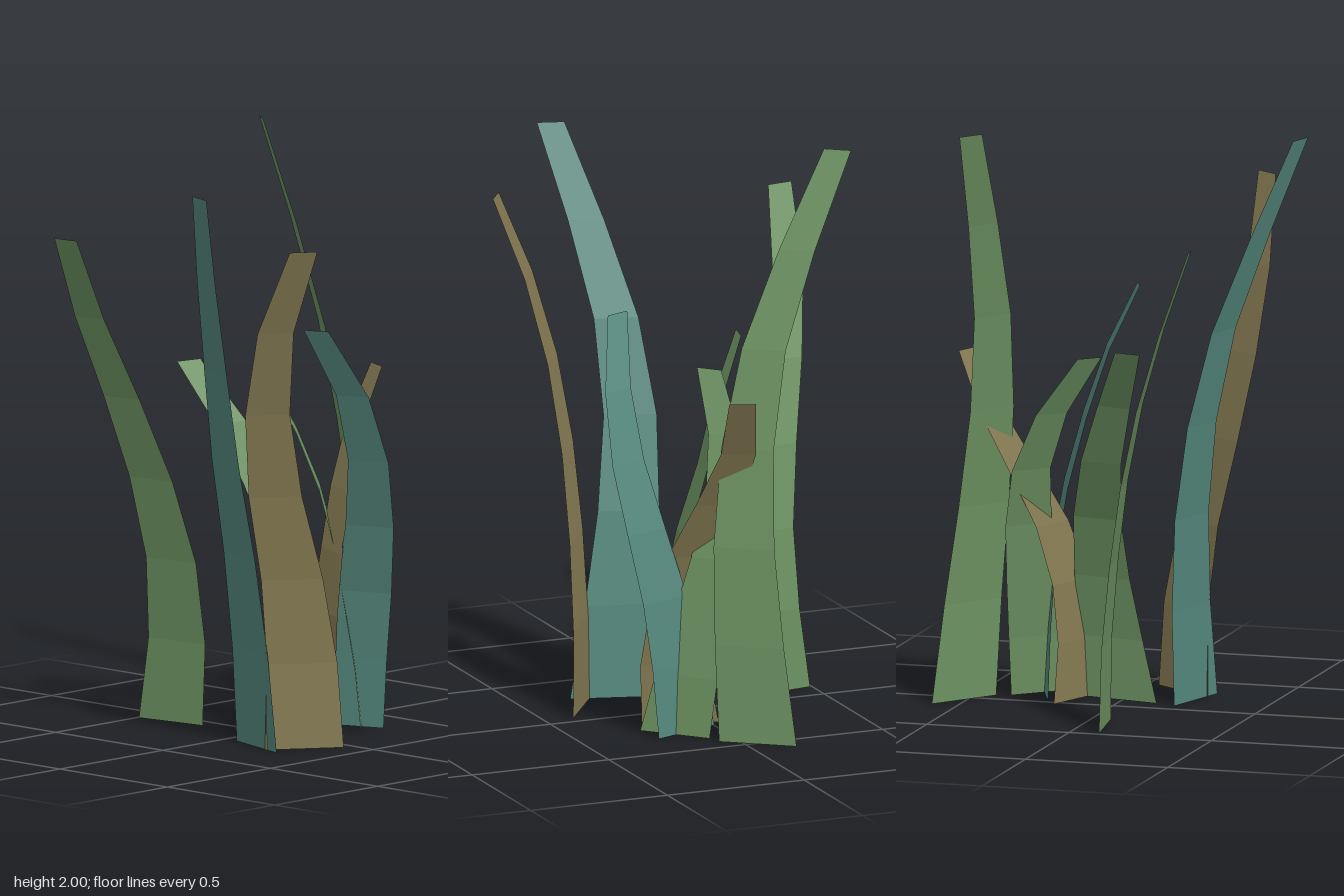
import * as THREE from 'three';

const SEGMENTS = 6;

// One tapering flat blade: spine holds [x, z] at equal height steps, dir is the width direction.
function makeBlade({ height, width, dir, spine }, material) {
  const geo = new THREE.PlaneGeometry(1, 1, 1, SEGMENTS);
  const pos = geo.attributes.position;
  const [dx, dz] = dir;
  const len = Math.hypot(dx, dz);
  for (let i = 0; i < pos.count; i++) {
    const t = pos.getY(i) + 0.5;
    const offset = (pos.getX(i) * width * (1 - 0.65 * t)) / len;
    const [x, z] = spine[Math.round(t * SEGMENTS)];
    pos.setXYZ(i, x + dx * offset, t * height, z + dz * offset);
  }
  const flat = geo.toNonIndexed(); // faceted segments
  flat.computeVertexNormals();
  return new THREE.Mesh(flat, material);
}

const blades = [
  { name: 'tallGreenBlade', color: 'green', height: 2, width: 0.268, dir: [0.6, -0.8],
    spine: [[0.51, -0.04], [0.485, -0.02], [0.448, -0.016], [0.41, -0.045], [0.387, -0.114], [0.382, -0.238], [0.38, -0.387]] },
  { name: 'backGreenBlade', color: 'green', height: 1.67, width: 0.263, dir: [0.145, 0.989],
    spine: [[-0.084, -0.363], [-0.082, -0.337], [-0.108, -0.339], [-0.158, -0.385], [-0.232, -0.45], [-0.328, -0.508], [-0.43, -0.522]] },
  { name: 'middleGreenBlade', color: 'green', height: 1.255, width: 0.272, dir: [0.977, 0.21],
    spine: [[0.004, 0.111], [0.04, 0.116], [0.066, 0.096], [0.07, 0.05], [0.029, -0.04], [-0.042, -0.125], [-0.125, -0.241]] },
  { name: 'shortGreenBlade', color: 'green', height: 1.195, width: 0.255, dir: [0.73, -0.68],
    spine: [[0.288, 0.168], [0.298, 0.13], [0.303, 0.08], [0.305, 0.03], [0.28, -0.02], [0.2, -0.05], [0.065, -0.052]] },
  { name: 'tallTealBlade', color: 'teal', height: 1.925, width: 0.267, dir: [0.275, -0.96],
    spine: [[-0.236, 0.183], [-0.231, 0.147], [-0.244, 0.11], [-0.287, 0.086], [-0.357, 0.107], [-0.467, 0.17], [-0.584, 0.25]] },
  { name: 'shortTealBlade', color: 'teal', height: 1.4, width: 0.26, dir: [0.36, 0.933],
    spine: [[0.273, 0.119], [0.273, 0.152], [0.269, 0.196], [0.241, 0.251], [0.188, 0.296], [0.108, 0.299], [-0.016, 0.248]] },
  { name: 'tallBrownBlade', color: 'brown', height: 1.75, width: 0.27, dir: [0.817, 0.575],
    spine: [[-0.15, 0.322], [-0.159, 0.321], [-0.205, 0.318], [-0.284, 0.316], [-0.35, 0.343], [-0.386, 0.415], [-0.378, 0.538]] },
  { name: 'shortBrownBlade', color: 'brown', height: 1.19, width: 0.258, dir: [0.366, -0.93],
    spine: [[0.15, 0.09], [0.151, 0.111], [0.177, 0.104], [0.236, 0.079], [0.327, 0.029], [0.428, -0.005], [0.517, 0.018]] },
];

export function createModel() {
  const colors = { green: 0x6d9362, teal: 0x568a7f, brown: 0x857a52 };
  const materials = {};
  for (const [name, color] of Object.entries(colors)) {
    materials[name] = new THREE.MeshStandardMaterial({ color, side: THREE.DoubleSide });
    materials[name].name = name;
  }

  const group = new THREE.Group();
  group.name = 'grassTuft';
  for (const blade of blades) {
    const mesh = makeBlade(blade, materials[blade.color]);
    mesh.name = blade.name;
    group.add(mesh);
  }
  return group;
}
